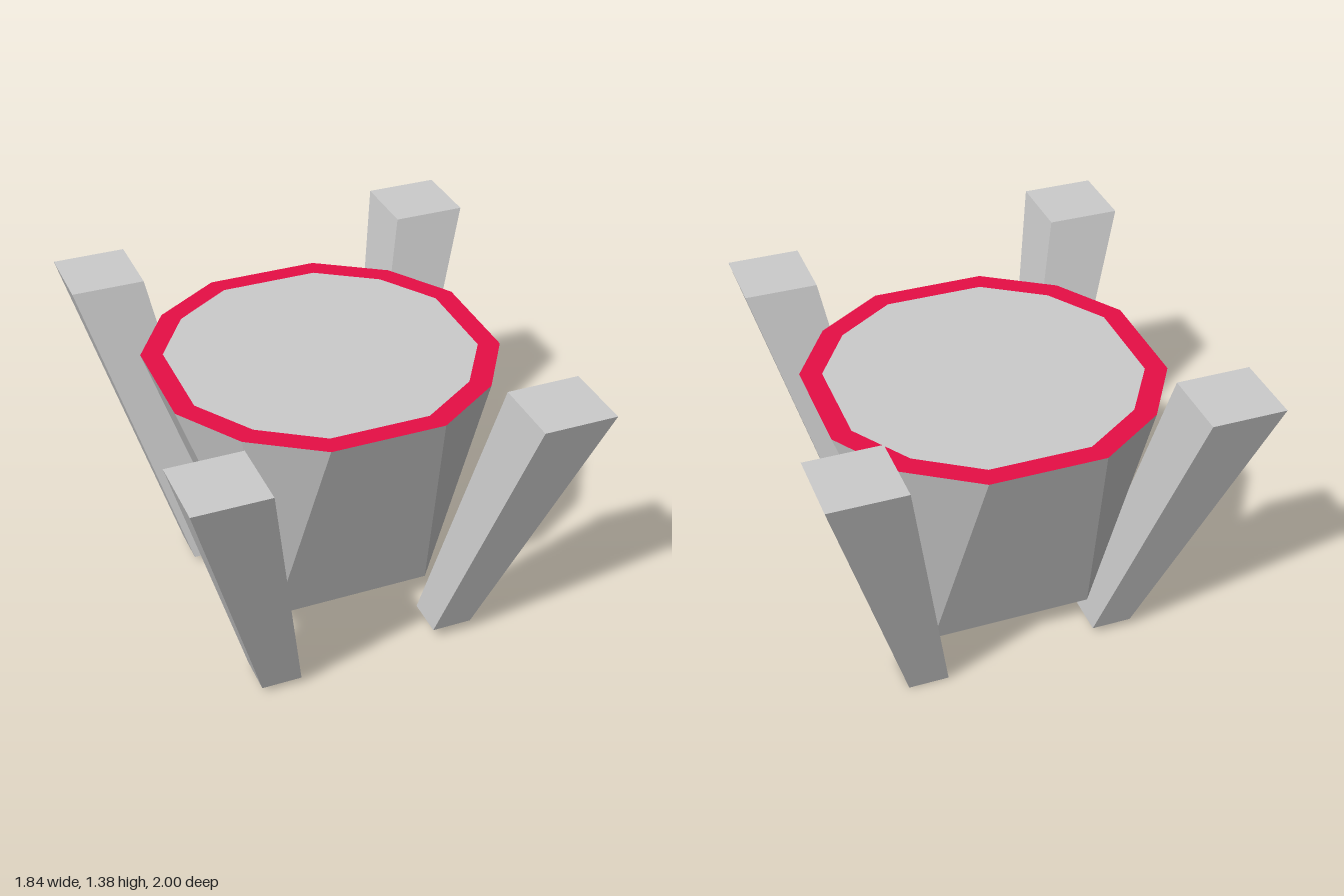
import * as THREE from 'three';

const grey = new THREE.MeshStandardMaterial({ color: 0xcccccc, flatShading: true });
const red = new THREE.MeshStandardMaterial({ color: 0xe60e45, flatShading: true });

// Raise a flat outline of [x, z] pairs to height y
const ring = (pts, y, cx = 0, cz = 0) => pts.map(([x, z]) => new THREE.Vector3(x + cx, y, z + cz));
const square = (h) => [[h, -h], [h, h], [-h, h], [-h, -h]];

// Faceted skin between two matching rings, with optional flat caps
function loft(name, low, high, material, { sides = true, bottom = true, top = true } = {}) {
  const n = low.length, points = [];
  for (let i = 0; i < n; i++) {
    const j = (i + 1) % n;
    if (sides) {
      if (i % 3 === 1) points.push(low[i], high[i], high[j], low[i], high[j], low[j]);
      else points.push(low[i], high[i], low[j], low[j], high[i], high[j]);
    }
    if (i > 0 && i < n - 1) {
      if (bottom) points.push(low[0], low[i], low[j]);
      if (top) points.push(high[0], high[j], high[i]);
    }
  }
  const geometry = new THREE.BufferGeometry().setFromPoints(points);
  geometry.computeVertexNormals();
  const mesh = new THREE.Mesh(geometry, material);
  mesh.name = name;
  return mesh;
}

// Mirror three corner points into all four quadrants, in order around the ring
function fourWay(corner) {
  const back = [...corner].reverse();
  return [
    ...corner,
    ...back.map(([x, z]) => [-x, z]),
    ...corner.map(([x, z]) => [-x, -z]),
    ...back.map(([x, z]) => [x, -z]),
  ];
}

export function createModel() {
  const model = new THREE.Group();
  const cz = -0.095, topY = 1.18;

  // Tub: square base opening out to a twelve-sided top
  const base = fourWay([[0.35, 0.117], [0.35, 0.35], [0.117, 0.35]]);
  const mouth = fourWay([[0.708, 0.235], [0.53, 0.515], [0.24, 0.706]]);
  const inset = fourWay([[0.62, 0.207], [0.462, 0.453], [0.21, 0.62]]);
  const outer = ring(mouth, topY, 0, cz);
  const inner = ring(inset, topY, 0, cz);
  model.add(loft('tub', ring(base, 0.13, 0, cz), outer, grey, { top: false }));

  // Coloured rim band and the flat surface inside it
  model.add(loft('rim', outer, inner, red, { bottom: false, top: false }));
  model.add(loft('topSurface', inner, inner, grey, { sides: false, bottom: false }));

  // Leaning, tapered posts: bottom centre and top centre as [x, y, z]
  const posts = [
    ['frontLeftPost', [0.355, 0.06, 0.44], [0.648, 1.28, 0.777]],
    ['frontRightPost', [-0.44, 0.03, 0.475], [-0.765, 1.335, 0.845]],
    ['backLeftPost', [0.415, 0, -0.478], [0.76, 1.38, -0.845]],
    ['backRightPost', [-0.43, 0.04, -0.447], [-0.743, 1.34, -0.798]],
  ];
  for (const [name, b, t] of posts) {
    model.add(loft(name,
      ring(square(0.087), b[1], b[0], b[2]),
      ring(square(0.155), t[1], t[0], t[2]), grey));
  }
  return model;
}
